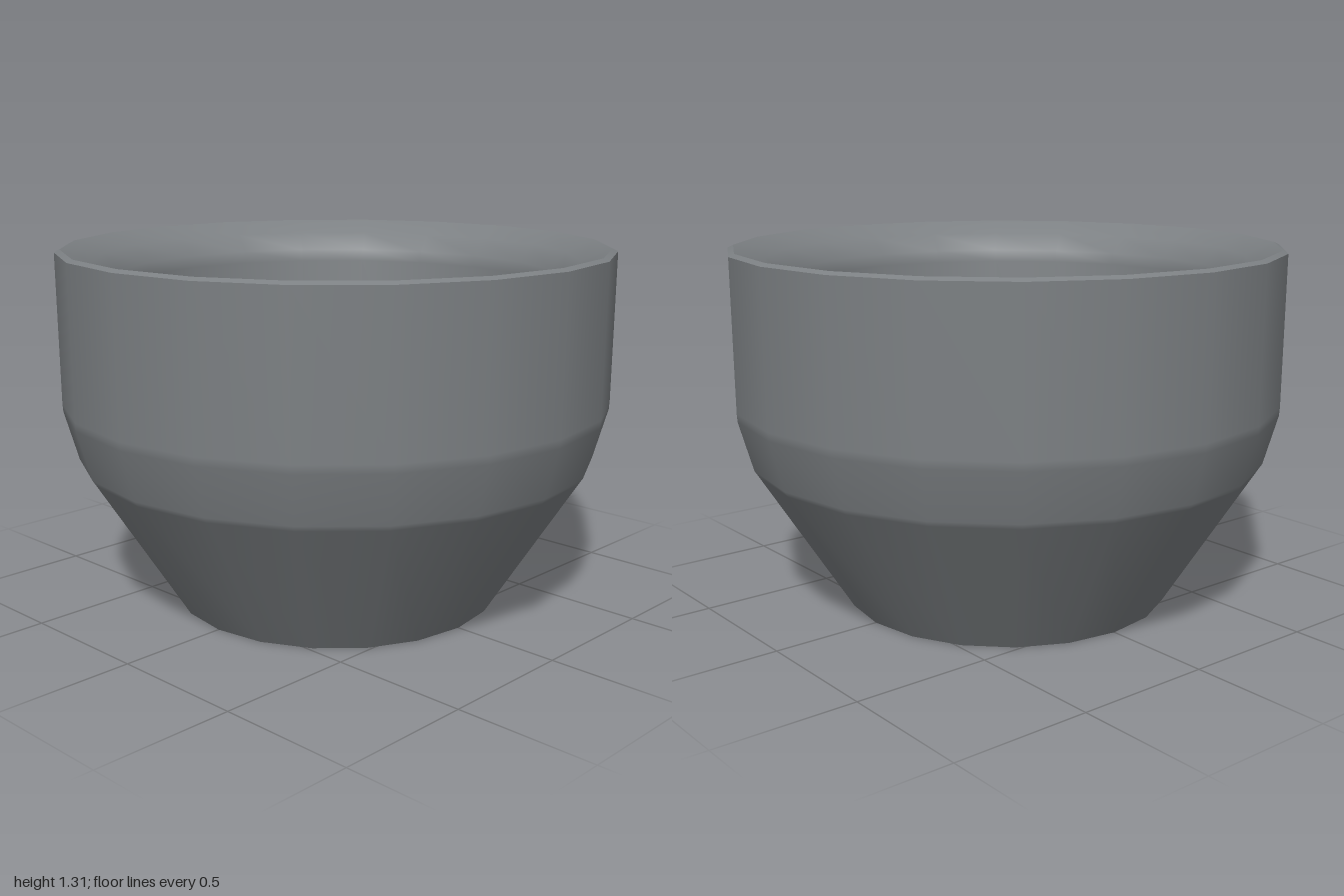
import * as THREE from 'three';

const SIDES = 20;

export function createModel() {
  const model = new THREE.Group();
  model.name = 'bowl';
  const grey = new THREE.MeshStandardMaterial({ color: 0x7c8083 });
  grey.name = 'slate grey';

  const add = (name, geometry) => {
    const mesh = new THREE.Mesh(geometry, grey);
    mesh.name = name;
    model.add(mesh);
    return mesh;
  };
  const lathe = (points) =>
    new THREE.LatheGeometry(points.map(([r, y]) => new THREE.Vector2(r, y)), SIDES);
  const disc = (name, radius, y, up) => {
    const mesh = add(name, new THREE.CircleGeometry(radius, SIDES));
    mesh.rotation.x = up ? -Math.PI / 2 : Math.PI / 2;
    mesh.position.y = y;
  };

  // Tapered foot, rounded shoulder and upright wall; close points tighten the shading
  add('outerWall', lathe([
    [0.6, 0], [0.932, 0.53], [0.945, 0.55], [0.995, 0.73], [0.997, 0.76], [1, 1.3],
  ]));
  // Narrow bevel at the lip
  add('lipBevel', lathe([[1, 1.3], [0.98, 1.31]]));
  // Inward-sloping rim that rolls over into the inner wall
  add('rimAndInnerWall', lathe([
    [0.98, 1.31], [0.87, 1.265], [0.81, 1.2], [0.805, 1.155], [0.73, 0.48],
  ]));
  // Inner floor and base
  disc('innerFloor', 0.73, 0.48, true);
  disc('base', 0.6, 0, false);

  return model;
}
